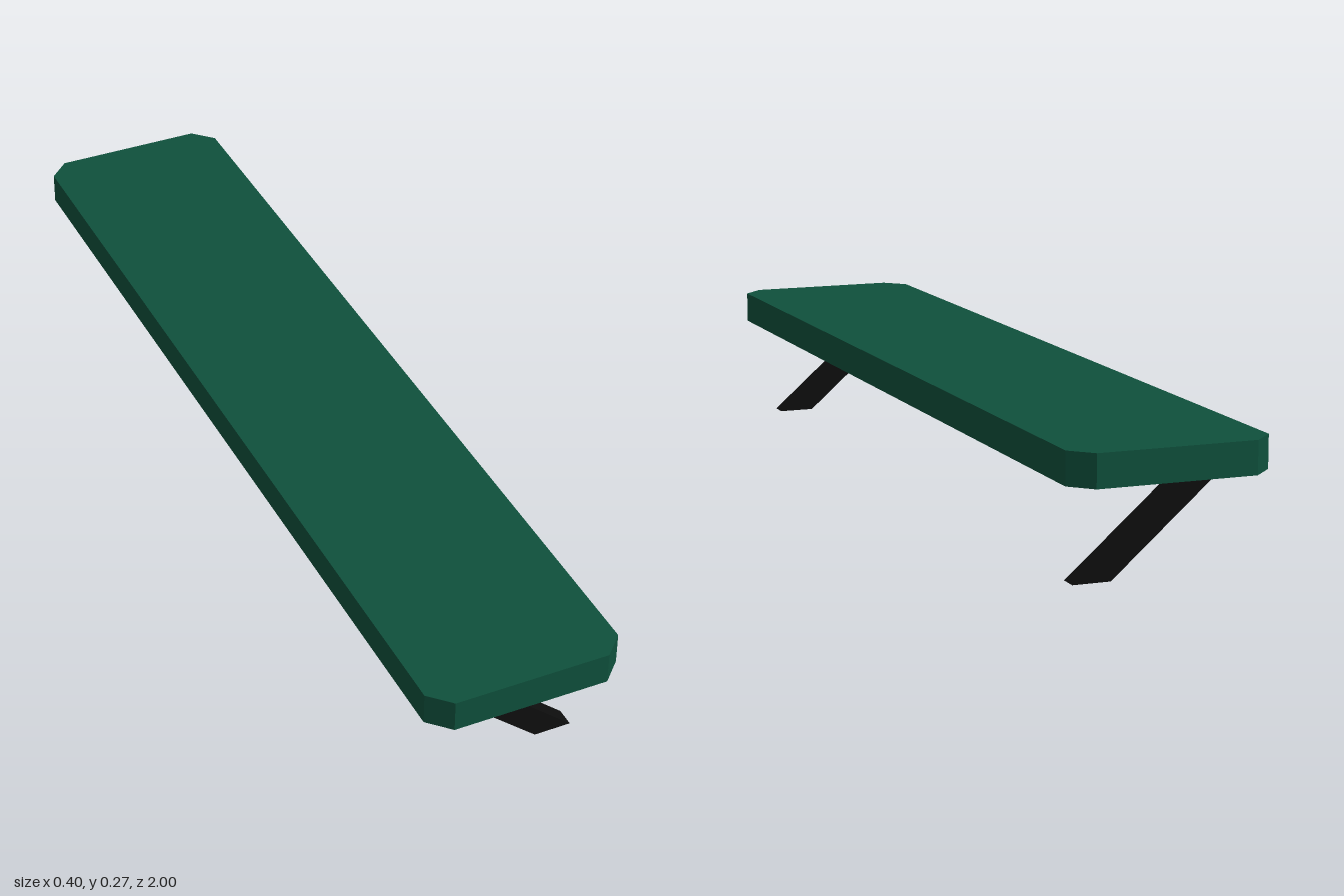
import * as THREE from 'three';

const green = new THREE.MeshStandardMaterial({ name: 'dark green', color: 0x0f503c });
const black = new THREE.MeshStandardMaterial({ name: 'black', color: 0x0e0e0e });

// Closed outline from a short list of points
const outline = (points) => new THREE.Shape(points.map(([x, y]) => new THREE.Vector2(x, y)));

const extrude = (points, depth) =>
  new THREE.ExtrudeGeometry(outline(points), { depth, bevelEnabled: false });

export function createModel() {
  const model = new THREE.Group();
  model.name = 'bench';

  // Seat board: long plank with clipped corners
  const w = 0.2, l = 1, c = 0.042, bottom = 0.202, thickness = 0.065;
  const seatGeometry = extrude([
    [-w + c, -l], [w - c, -l], [w, -l + c], [w, l - c],
    [w - c, l], [-w + c, l], [-w, l - c], [-w, -l + c],
  ], thickness);
  seatGeometry.rotateX(-Math.PI / 2).translate(0, bottom, 0);
  const seat = new THREE.Mesh(seatGeometry, green);
  seat.name = 'seat';
  model.add(seat);

  // Slanted legs: both lean the same way, one near each end
  const legWidth = 0.038;
  const legGeometry = extrude(
    [[0.078, 0], [0.154, 0], [-0.078, bottom], [-0.154, bottom]], legWidth);
  legGeometry.translate(0, 0, -legWidth / 2);
  for (const [name, z] of [['frontLeg', 0.867], ['backLeg', -0.867]]) {
    const leg = new THREE.Mesh(legGeometry, black);
    leg.name = name;
    leg.position.z = z;
    model.add(leg);
  }

  return model;
}
